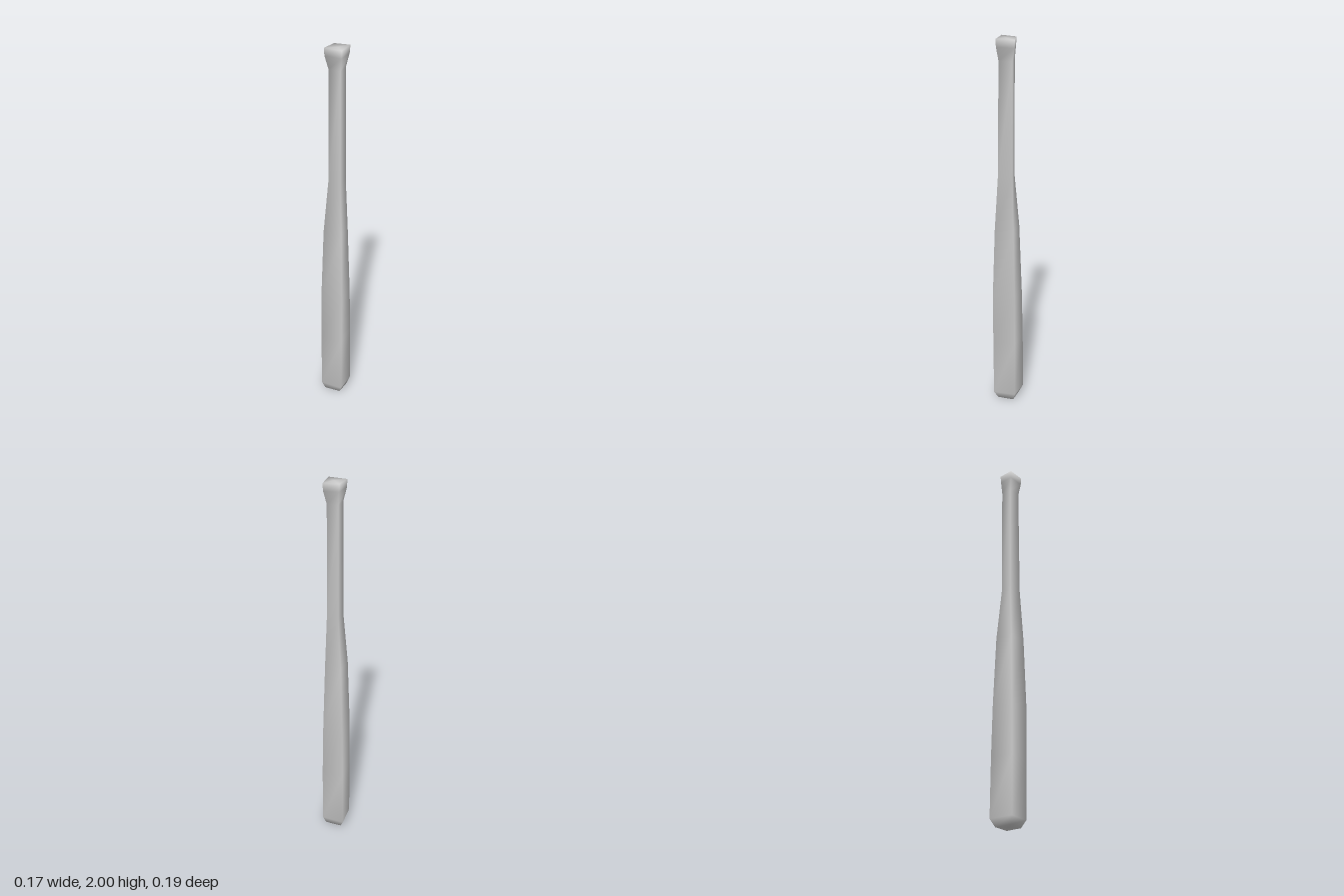
import * as THREE from 'three';

// Rings from bottom to top: y, right x, left x, back z, front z
const rings = [
  [0.00, -0.064, 0.062, -0.064, 0.062],
  [0.04, -0.083, 0.081, -0.092, 0.088],
  [0.35, -0.085, 0.081, -0.087, 0.091],
  [0.62, -0.083, 0.076, -0.080, 0.093],
  [1.00, -0.069, 0.063, -0.063, 0.080],
  [1.29, -0.042, 0.051, -0.034, 0.061],
  [1.89, -0.040, 0.049, -0.034, 0.056],
  [1.96, -0.060, 0.068, -0.041, 0.070],
  [2.00, -0.062, 0.072, -0.044, 0.073],
];

// Skin the four-cornered rings and close both ends, sharing vertices for smooth normals
function skin(sections) {
  const pos = [], index = [], last = sections.length - 1;
  for (const [y, x0, x1, z0, z1] of sections) {
    const ridge = 0.004 * (y / 2);
    pos.push(ridge, y, z1, x1, y, 0.003, 0.005, y, z0, x0, y, 0.003);
  }
  const bottom = pos.length / 3, top = bottom + 1;
  for (const [y, x0, x1, z0, z1] of [sections[0], sections[last]]) {
    pos.push((x0 + x1) / 2, y, (z0 + z1) / 2);
  }
  for (let side = 0; side < 4; side++) {
    const next = (side + 1) % 4;
    for (let i = 0; i < last; i++) {
      const a = i * 4 + side, b = i * 4 + next;
      index.push(a, b, b + 4, a, b + 4, a + 4);
    }
    index.push(bottom, next, side, top, last * 4 + side, last * 4 + next);
  }
  const geometry = new THREE.BufferGeometry();
  geometry.setAttribute('position', new THREE.Float32BufferAttribute(pos, 3));
  geometry.setIndex(index);
  geometry.computeVertexNormals();
  return geometry;
}

export function createModel() {
  const model = new THREE.Group();
  model.name = 'bat';
  // Barrel, handle and knob form one continuous body
  const body = new THREE.Mesh(skin(rings), new THREE.MeshStandardMaterial({ color: 0xcccccc }));
  body.name = 'batBody';
  model.add(body);
  return model;
}
